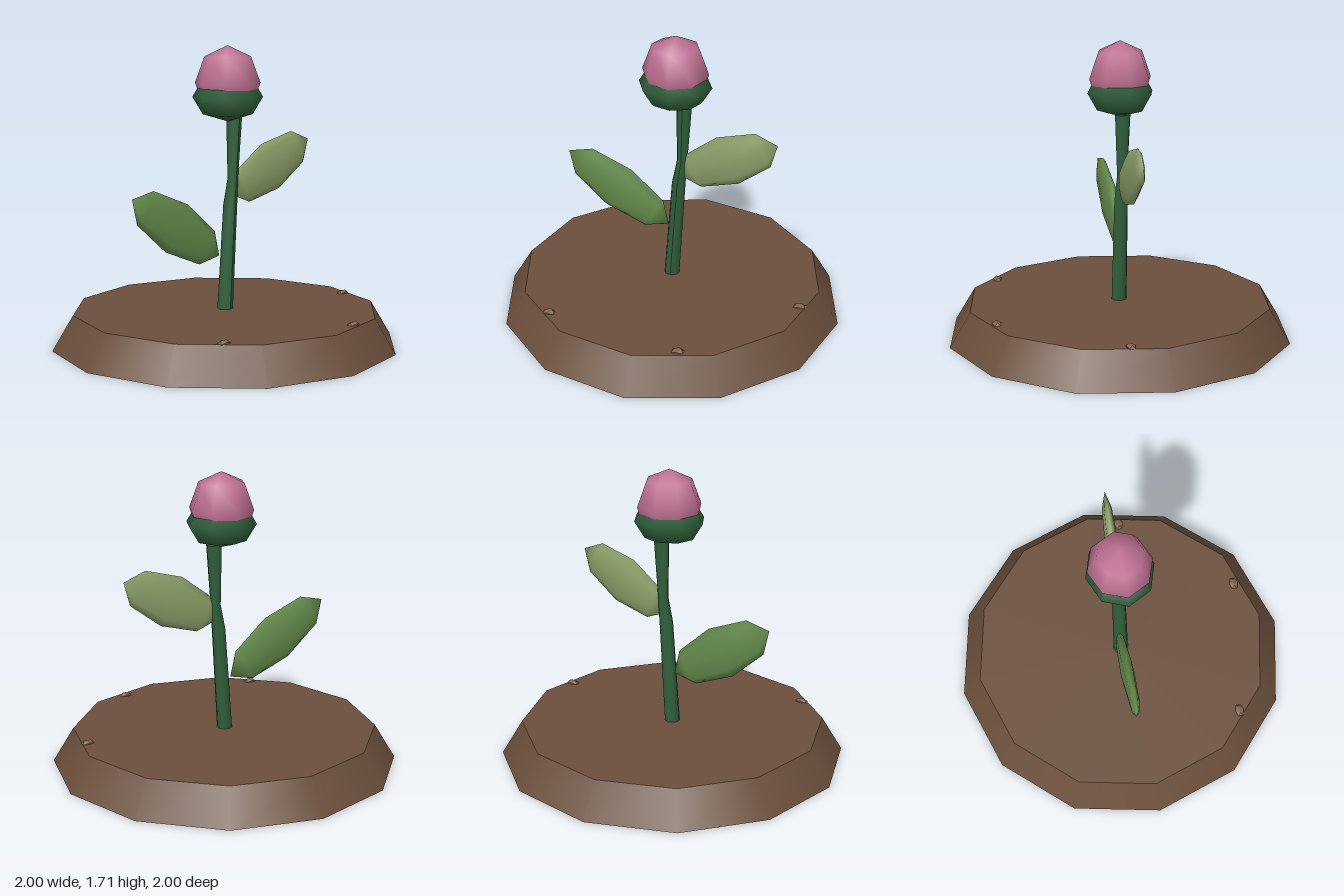
import * as THREE from 'three';

const material = (color) => new THREE.MeshStandardMaterial({ color });

export function createModel() {
  const model = new THREE.Group();
  model.name = 'pottedFlower';

  const add = (name, geometry, color, position) => {
    const mesh = new THREE.Mesh(geometry, material(color));
    mesh.name = name;
    mesh.position.set(...position);
    model.add(mesh);
    return mesh;
  };

  // Low-poly ellipsoid shared by the bud and the leaves
  const ellipsoid = (rx, ry, rz) => new THREE.SphereGeometry(1, 8, 4).scale(rx, ry, rz);

  // Soil mound
  add('soil', new THREE.CylinderGeometry(0.88, 1, 0.2, 12), 0x6b4f3c, [0, 0.1, 0]);

  // Stem: a leaning tube, pinched where the upper leaf joins
  const rings = [
    // y, x, radius
    [0.19, 0, 0.045],
    [0.8, 0.04, 0.04],
    [0.95, 0.06, 0.03],
    [1.3, 0.07, 0.045],
  ];
  const stem = new THREE.CylinderGeometry(1, 1, 3, 8, 3);
  const p = stem.attributes.position;
  for (let i = 0; i < p.count; i++) {
    const [y, x, r] = rings[Math.round(p.getY(i) + 1.5)];
    p.setXYZ(i, x + p.getX(i) * r, y, p.getZ(i) * r);
  }
  stem.computeVertexNormals();
  add('stem', stem, 0x2f5f3a, [0, 0, 0]);

  // Bud: green cup with the pink petals rising out of it
  add('budCup', ellipsoid(0.21, 0.14, 0.19), 0x2f5f3a, [0.02, 1.42, 0]);
  add('petals', ellipsoid(0.19, 0.21, 0.18), 0xbd7092, [0.02, 1.5, 0]);

  // Leaves, tipped outward and turned slightly off the side axis
  const leftLeaf = add('leftLeaf', ellipsoid(0.15, 0.32, 0.04), 0x8a9f67, [0.33, 1, 0.03]);
  leftLeaf.rotation.set(0, -0.09, -1.11);
  const rightLeaf = add('rightLeaf', ellipsoid(0.15, 0.36, 0.04), 0x648a4b, [-0.33, 0.7, -0.04]);
  rightLeaf.rotation.set(0, -0.06, 1.01);

  // Pebbles on the soil
  [[-0.56, 0.6], [0.24, 0.78], [0.8, 0.18]].forEach(([x, z], i) => {
    const pebble = new THREE.IcosahedronGeometry(1, 0).scale(0.04, 0.02, 0.03);
    add('pebble' + (i + 1), pebble, 0x80634b, [x, 0.2, z]).material.flatShading = true;
  });

  return model;
}
